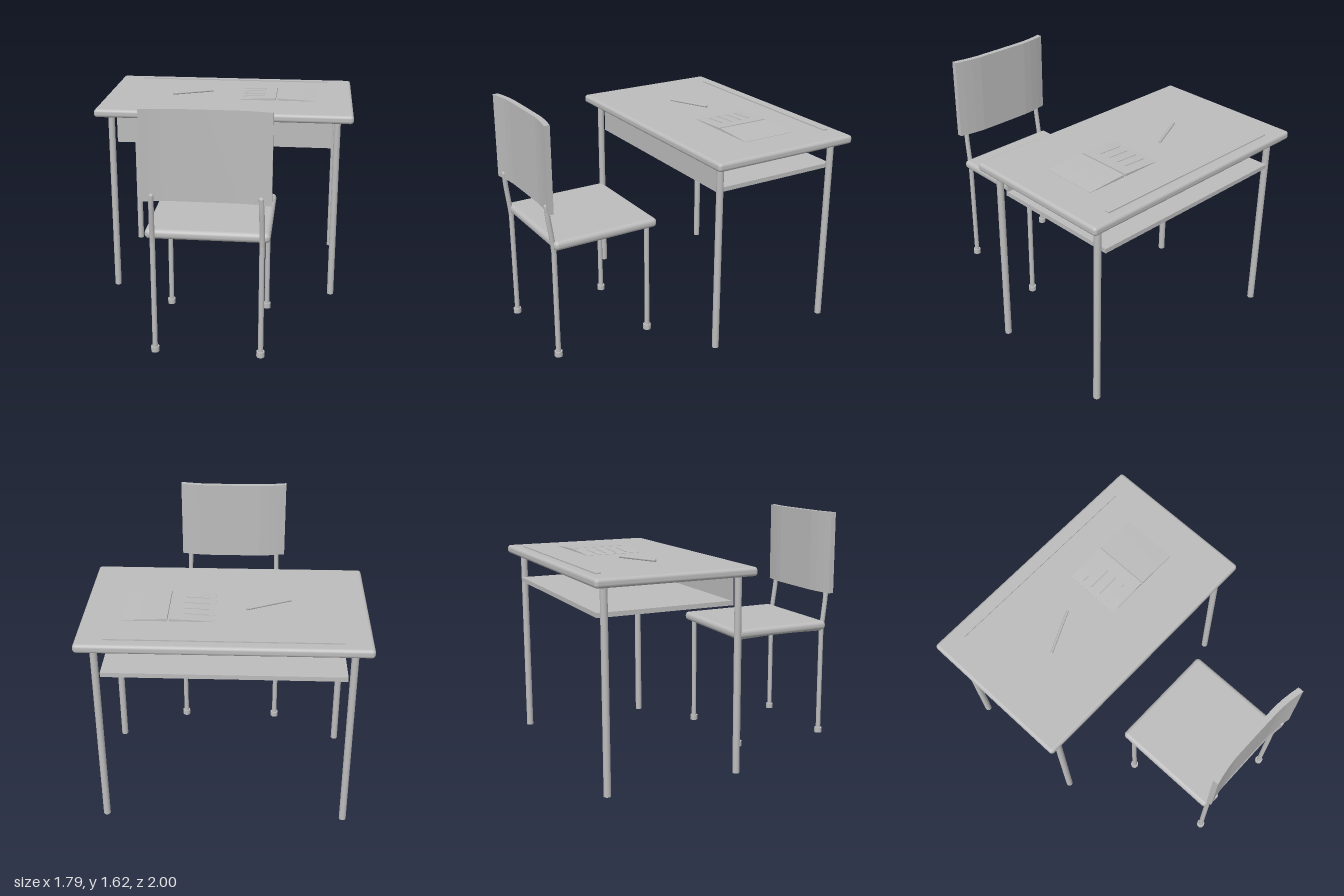
import * as THREE from 'three';
import { RoundedBoxGeometry } from 'three/addons/geometries/RoundedBoxGeometry.js';

export function createModel() {
  const model = new THREE.Group();
  const grey = new THREE.MeshStandardMaterial({ color: 0xbcbcbc });
  grey.name = 'plain grey';

  const desk = new THREE.Group();
  desk.name = 'desk';
  const chair = new THREE.Group();
  chair.name = 'chair';
  model.add(desk, chair);

  const V = (x, y, z) => new THREE.Vector3(x, y, z);
  const add = (parent, name, geometry) => {
    const mesh = new THREE.Mesh(geometry, grey);
    mesh.name = name;
    parent.add(mesh);
    return mesh;
  };
  // Box given by its limits on each axis
  const box = (parent, name, x0, x1, y0, y1, z0, z1, radius = 0) => {
    const size = [x1 - x0, y1 - y0, z1 - z0];
    const geometry = radius
      ? new RoundedBoxGeometry(...size, 4, radius)
      : new THREE.BoxGeometry(...size);
    add(parent, name, geometry).position.set((x0 + x1) / 2, (y0 + y1) / 2, (z0 + z1) / 2);
  };
  // Straight capped rod between two points
  const rod = (parent, name, a, b, radius, sides = 16) => {
    const dir = b.clone().sub(a);
    const mesh = add(parent, name, new THREE.CylinderGeometry(radius, radius, dir.length(), sides));
    mesh.position.copy(a).add(b).multiplyScalar(0.5);
    mesh.quaternion.setFromUnitVectors(V(0, 1, 0), dir.normalize());
  };
  // Slightly sagging rail running front to back
  const rail = (parent, name, x, y, z0, z1, radius, sag) => {
    const curve = new THREE.CatmullRomCurve3([V(x, y, z0), V(x, y - sag, (z0 + z1) / 2), V(x, y, z1)]);
    add(parent, name, new THREE.TubeGeometry(curve, 16, radius, 12));
  };

  // Desk top, legs and side rails
  box(desk, 'deskTop', -0.895, 0.895, 1.302, 1.36, -1, 0.075, 0.022);
  for (const x of [-0.787, 0.787]) {
    for (const z of [-0.008, -0.908]) rod(desk, 'deskLeg', V(x, 0, z), V(x, 1.31, z), 0.023, 20);
    rail(desk, 'deskRail', x, 1.313, -0.908, -0.008, 0.023, -0.006);
  }

  // Front panel and book shelf with a rim below
  box(desk, 'frontPanel', -0.752, 0.752, 1.103, 1.28, -0.036, -0.022);
  box(desk, 'shelf', -0.752, 0.752, 1.123, 1.135, -0.94, -0.036);
  for (const s of [-1, 1]) {
    box(desk, 'shelfSideRim', s * 0.744 - 0.008, s * 0.744 + 0.008, 1.105, 1.1235, -0.94, -0.036);
  }
  box(desk, 'shelfBackRim', -0.736, 0.736, 1.105, 1.1235, -0.94, -0.924);

  // Pencil stop and pencil
  box(desk, 'pencilStop', -0.72, 0.72, 1.355, 1.368, -0.93, -0.897);
  rod(desk, 'pencil', V(-0.41, 1.369, -0.4), V(-0.13, 1.369, -0.53), 0.009, 8);

  // Open book: two sloping pages either side of the fold
  const fold = 0.353;
  for (const s of [-1, 1]) {
    const page = new THREE.Shape(
      [[0.006, 1.358], [0.285, 1.358], [0.285, 1.362], [0.18, 1.369], [0.006, 1.376]]
        .map(([x, y]) => new THREE.Vector2(fold + s * x, y)));
    const geometry = new THREE.ExtrudeGeometry(page, { depth: 0.385, bevelEnabled: false });
    add(desk, 'bookPage', geometry).position.z = -0.69;
  }
  for (const z of [-0.61, -0.54, -0.465, -0.39]) {
    const line = add(desk, 'writtenLine', new THREE.BoxGeometry(0.16, 0.006, 0.009));
    line.position.set(0.185, 1.37, z);
    line.rotation.z = 0.05;
  }

  // Chair seat, legs with feet, seat rails and back posts
  box(chair, 'seat', -0.39, 0.39, 0.782, 0.845, 0.205, 0.955, 0.028);
  for (const x of [-0.34, 0.34]) {
    for (const z of [0.262, 0.945]) {
      rod(chair, 'chairLeg', V(x, 0.02, z), V(x, 0.8, z), 0.017);
      rod(chair, 'foot', V(x, 0, z), V(x, 0.036, z), 0.027);
    }
    rail(chair, 'seatRail', x, 0.785, 0.262, 0.945, 0.017, -0.008);
    const post = new THREE.CatmullRomCurve3([
      V(x, 0.76, 0.945), V(x, 0.83, 0.952), V(x * 0.99, 1.0, 0.974), V(x * 0.98, 1.08, 0.98)]);
    add(chair, 'backPost', new THREE.TubeGeometry(post, 16, 0.017, 12));
    add(chair, 'postEnd', new THREE.SphereGeometry(0.017, 12, 8)).position.set(x * 0.98, 1.08, 0.98);
  }

  // Curved backrest, drawn in plan and extruded upward
  const half = [[0, 0.93], [0.2, 0.931], [0.27, 0.937], [0.34, 0.948], [0.397, 0.96]];
  const inner = [...half.slice(1).reverse().map(([x, z]) => [-x, z]), ...half];
  const outer = inner.map(([x, z]) => [x, z + 0.038]).reverse();
  const plan = new THREE.Shape([...inner, ...outer].map(([x, z]) => new THREE.Vector2(x, -z)));
  const back = add(chair, 'backrest', new THREE.ExtrudeGeometry(plan, { depth: 0.575, bevelEnabled: false }));
  back.rotation.x = -Math.PI / 2;
  back.position.y = 1.047;

  return model;
}
